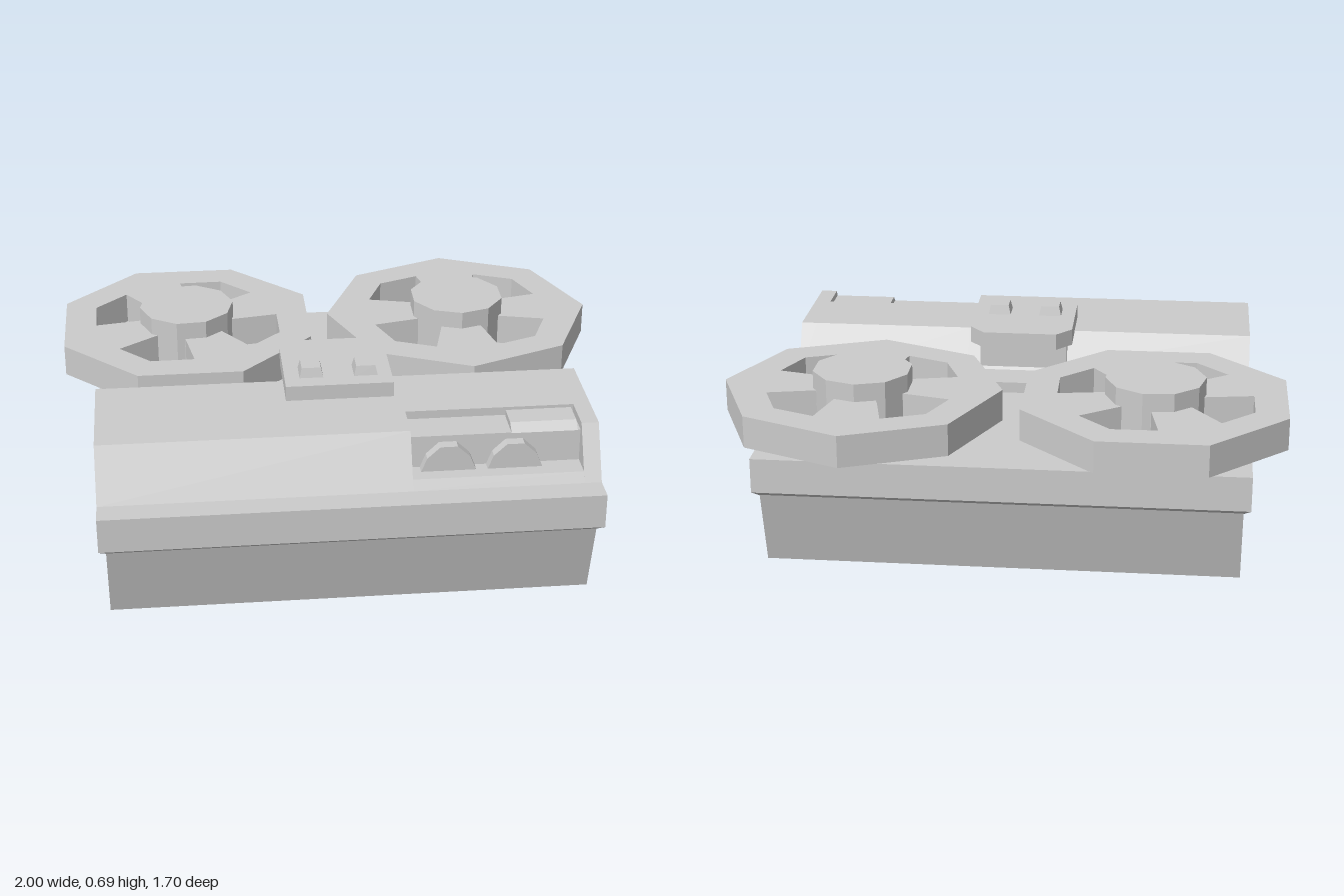
import * as THREE from 'three';

const material = new THREE.MeshStandardMaterial({ color: 0xcccccc, flatShading: true });

function add(parent, name, geometry) {
  const mesh = new THREE.Mesh(geometry, material);
  mesh.name = name;
  parent.add(mesh);
  return mesh;
}

// Side profile given as [z, y] points, running from x0 to x1
function acrossX(points, x0, x1) {
  const shape = new THREE.Shape(points.map(([z, y]) => new THREE.Vector2(-z, y)));
  return new THREE.ExtrudeGeometry(shape, { depth: x1 - x0, bevelEnabled: false })
    .rotateY(Math.PI / 2).translate(x0, 0, 0);
}

// Plan outline (x, -z) raised from y0 to y1
function upright(shape, y0, y1) {
  return new THREE.ExtrudeGeometry(shape, { depth: y1 - y0, bevelEnabled: false })
    .rotateX(-Math.PI / 2).translate(0, y0, 0);
}

// Box by its limits, with one end (top or bottom) drawn in by an inset
function taperedBox([x0, x1], [y0, y1], [z0, z1], inset = 0, insetTop = true) {
  const geo = new THREE.BoxGeometry(x1 - x0, y1 - y0, z1 - z0);
  const pos = geo.attributes.position;
  for (let i = 0; i < pos.count; i++) {
    if ((pos.getY(i) > 0) !== insetTop) continue;
    pos.setX(i, pos.getX(i) - Math.sign(pos.getX(i)) * inset);
    pos.setZ(i, pos.getZ(i) - Math.sign(pos.getZ(i)) * inset);
  }
  return geo.translate((x0 + x1) / 2, (y0 + y1) / 2, (z0 + z1) / 2);
}

const polar = (r, degrees) => {
  const a = THREE.MathUtils.degToRad(degrees);
  return new THREE.Vector2(r * Math.cos(a), r * Math.sin(a));
};

// Octagonal reel with four windows and a ten-sided hub
function makeReel(name, x, z, turn) {
  const reel = new THREE.Group();
  reel.name = name;
  const rim = new THREE.Shape();
  rim.setFromPoints(Array.from({ length: 8 }, (_, i) => polar(0.5, i * 45)));
  for (let i = 0; i < 4; i++) {
    const mid = 45 + i * 90;
    rim.holes.push(new THREE.Path([
      polar(0.172, mid - 19), polar(0.172, mid + 19),
      polar(0.345, mid + 25.5), polar(0.375, mid), polar(0.345, mid - 25.5),
    ]));
  }
  add(reel, 'reelDisc', upright(rim, 0.46, 0.575));
  add(reel, 'reelHub', new THREE.CylinderGeometry(0.178, 0.178, 0.177, 10).translate(0, 0.5515, 0));
  reel.position.set(x, 0, z);
  reel.rotation.y = turn;
  return reel;
}

export function createModel() {
  const model = new THREE.Group();
  model.name = 'tapeRecorder';

  // Case: tapering lower body and wider deck with a chamfered lower edge
  add(model, 'lowerCase', acrossX([[0.75, 0], [0.83, 0.28], [-0.69, 0.28], [-0.61, 0]], -0.855, 0.815));
  add(model, 'deckChamfer', taperedBox([-0.88, 0.84], [0.275, 0.295], [-0.71, 0.85], 0.025, false));
  add(model, 'deck', taperedBox([-0.88, 0.84], [0.295, 0.42], [-0.71, 0.85]));

  // Sloped control housing, cut away around the meter recess
  const housing = [[0.76, 0.42], [0.66, 0.6], [0.245, 0.6], [0.15, 0.42]];
  const notched = [[0.76, 0.42], [0.74, 0.455], [0.655, 0.455], [0.65, 0.57], [0.52, 0.57],
    [0.52, 0.6], [0.245, 0.6], [0.15, 0.42]];
  add(model, 'housingRight', acrossX(housing, -0.88, 0.19));
  add(model, 'housingMeterSection', acrossX(notched, 0.19, 0.78));
  add(model, 'housingLeft', acrossX(housing, 0.78, 0.84));
  add(model, 'recessCover', acrossX([[0.53, 0.57], [0.53, 0.594], [0.62, 0.594], [0.655, 0.57]], 0.54, 0.77));

  // Two half-round meters standing in the recess
  for (const x of [0.32, 0.55]) {
    const dome = new THREE.Shape([[0.095, 0], [0.075, 0.05], [0.03, 0.092], [-0.03, 0.092],
      [-0.075, 0.05], [-0.095, 0]].map(([a, b]) => new THREE.Vector2(a, b)));
    add(model, 'meter', new THREE.ExtrudeGeometry(dome, { depth: 0.04, bevelEnabled: false })
      .translate(x, 0.455, 0.65));
  }

  // Tape head block: lower plate, stem and overhanging cap with clipped corners
  const cap = (zFront) => new THREE.Shape([[-0.215, -zFront], [0.165, -zFront], [0.165, -0.095],
    [0.11, -0.03], [-0.16, -0.03], [-0.215, -0.095]].map(([a, b]) => new THREE.Vector2(a, b)));
  add(model, 'headPlate', upright(cap(0.25), 0.42, 0.46));
  add(model, 'headStem', taperedBox([-0.19, 0.14], [0.42, 0.6], [0.177, 0.35]));
  add(model, 'headCap', upright(cap(0.4), 0.595, 0.655));
  for (const x of [-0.12, 0.073]) {
    add(model, 'button', taperedBox([x - 0.042, x + 0.042], [0.655, 0.69], [0.25, 0.338], 0.008));
  }

  // Supply and take-up reels
  model.add(makeReel('rightReel', -0.54, -0.357, Math.PI / 8));
  model.add(makeReel('leftReel', 0.5, -0.355, -0.012));
  return model;
}
